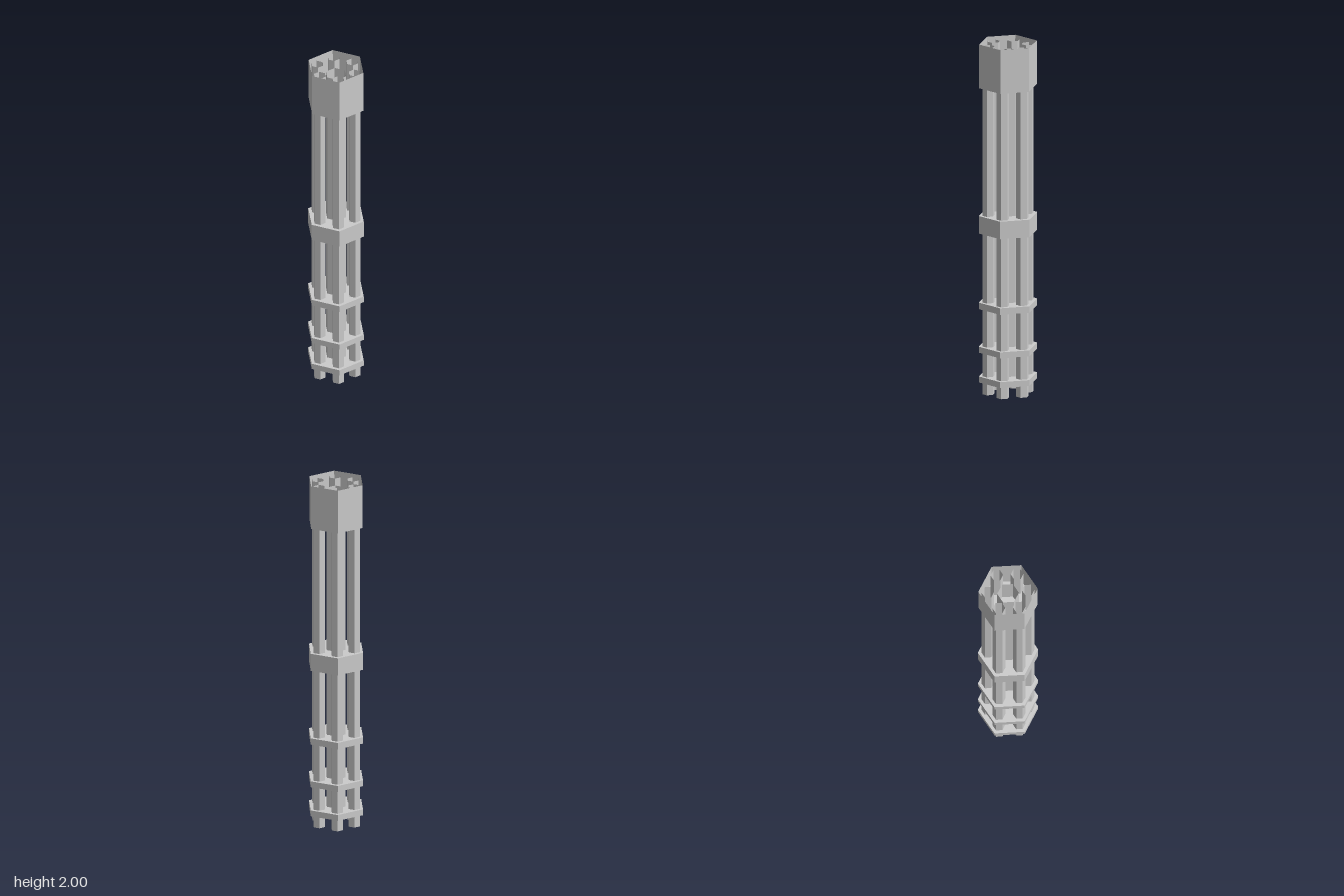
import * as THREE from 'three';

const solid = new THREE.MeshStandardMaterial({ color: 0xcccccc, flatShading: true });
const sheet = new THREE.MeshStandardMaterial({ color: 0xcccccc, flatShading: true, side: THREE.DoubleSide });

export function createModel() {
  const model = new THREE.Group();

  // upright six-sided prism or open tube between two heights
  function hex(name, radius, bottom, top, open = false) {
    const geometry = new THREE.CylinderGeometry(radius, radius, top - bottom, 6, 1, open);
    const mesh = new THREE.Mesh(geometry, open ? sheet : solid);
    mesh.name = name;
    mesh.position.y = (bottom + top) / 2;
    model.add(mesh);
    return mesh;
  }

  // open-topped housing with a floor
  hex('housingWall', 0.164, 1.75, 2, true);
  const floor = new THREE.Mesh(new THREE.CircleGeometry(0.164, 6, Math.PI / 2), sheet);
  floor.name = 'housingFloor';
  floor.rotation.x = -Math.PI / 2;
  floor.position.y = 1.75;
  model.add(floor);

  // clamp plates along the barrels
  for (const [bottom, top] of [[0.92, 1.02], [0.488, 0.525], [0.239, 0.273], [0.069, 0.103]]) {
    hex('clampPlate', 0.1665, bottom, top);
  }

  // ring of six hollow barrels, one at each corner
  for (let i = 0; i < 6; i++) {
    const angle = (i * Math.PI) / 3;
    const barrel = hex('barrel', 0.035, 0, 1.985, true);
    barrel.position.x = 0.1115 * Math.sin(angle);
    barrel.position.z = 0.1115 * Math.cos(angle);
  }

  // shorter central shaft
  hex('centralShaft', 0.06, 0.05, 1.95, true);

  return model;
}
